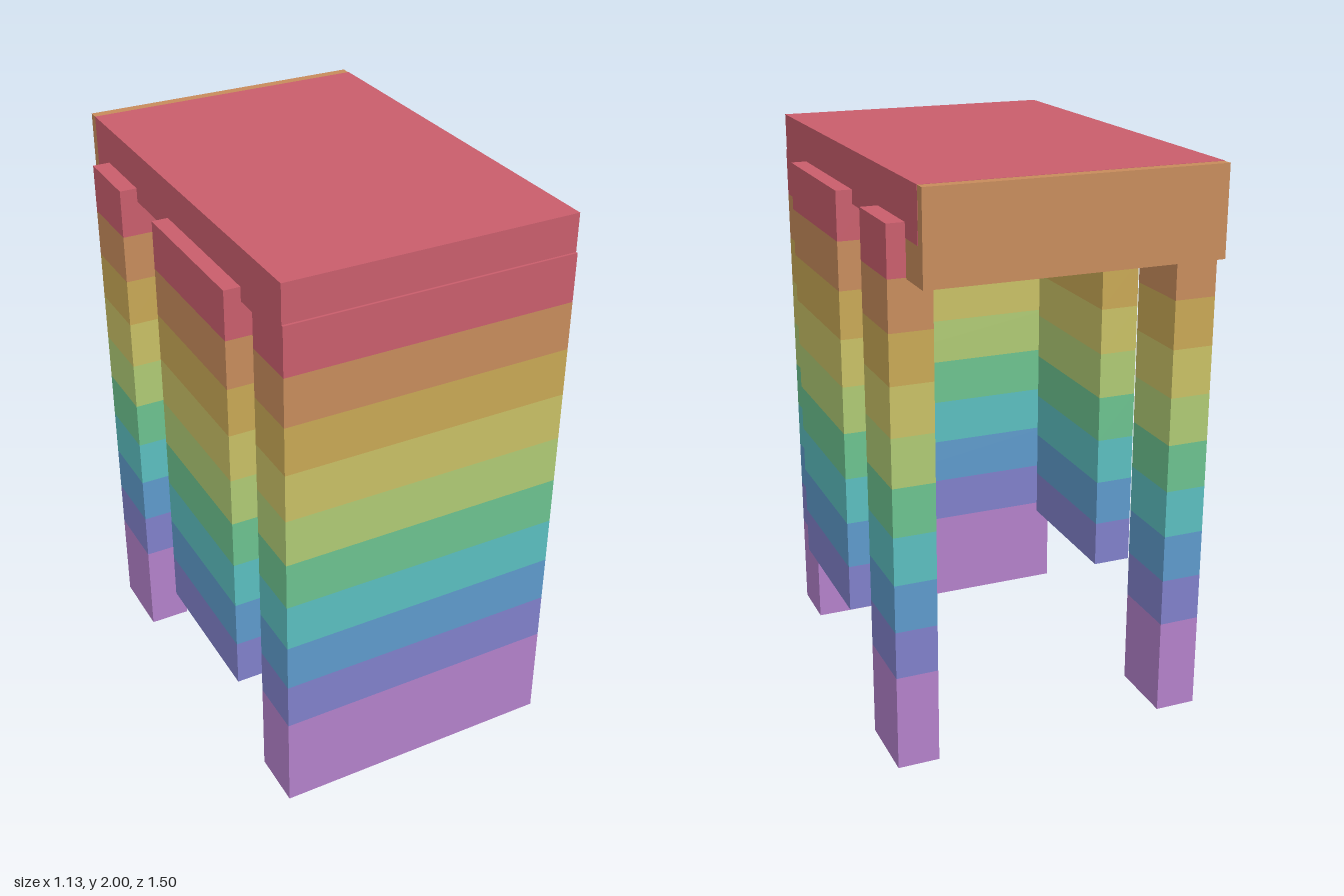
import * as THREE from 'three';

// Band colours from bottom to top
const palette = [
  ['purple', 0xb381ca], ['indigo', 0x8080ca], ['blue', 0x5e9acb], ['teal', 0x5bbebf],
  ['green', 0x6cc28f], ['lime', 0xafca74], ['yellow', 0xc8c065], ['gold', 0xc8a855],
  ['orange', 0xc78c5c], ['red', 0xc95e6c],
];
// Band edges: one tall foot band, then equal steps
const edges = [0, ...Array.from({ length: 10 }, (_, i) => 0.343 + i * 0.1695)];

export function createModel() {
  const group = new THREE.Group();
  const materials = palette.map(([name, color]) => {
    const m = new THREE.MeshStandardMaterial({ color });
    m.name = name;
    return m;
  });
  const [red, orange] = [materials[9], materials[8]];

  function add(name, geometry, material) {
    const mesh = new THREE.Mesh(geometry, material);
    mesh.name = name;
    group.add(mesh);
  }

  function block(name, x0, x1, y0, y1, z0, z1, material) {
    const g = new THREE.BoxGeometry(x1 - x0, y1 - y0, z1 - z0);
    g.translate((x0 + x1) / 2, (y0 + y1) / 2, (z0 + z1) / 2);
    add(name, g, material);
  }

  // Box whose sides are split into the rainbow bands, starting at band "first"
  function banded(name, x0, x1, z0, z1, first) {
    const rows = 10 - first;
    const g = new THREE.BoxGeometry(x1 - x0, rows, z1 - z0, 1, rows, 1);
    g.translate((x0 + x1) / 2, rows / 2, (z0 + z1) / 2);
    const p = g.attributes.position;
    for (let i = 0; i < p.count; i++) p.setY(i, edges[first + Math.round(p.getY(i))]);
    g.clearGroups();
    let start = 0;
    for (let side = 0; side < 6; side++) {
      if (side === 2 || side === 3) { // top and bottom caps
        g.addGroup(start, 6, side === 2 ? 9 : first);
        start += 6;
      } else {
        for (let r = 0; r < rows; r++, start += 6) g.addGroup(start, 6, 9 - r);
      }
    }
    add(name, g, materials);
  }

  // Top slab and the lip overhanging at the back
  block('topSlab', -0.507, 0.507, 1.82, 2, -0.713, 0.742, red);
  block('backLip', -0.506, 0.506, 1.695, 1.999, -0.75, -0.603, orange);

  // Full-height front panel
  banded('frontPanel', -0.507, 0.507, 0.55, 0.75, 0);

  // Hanging side panels and back legs, mirrored
  for (const [side, s] of [['left', 1], ['right', -1]]) {
    const span = (a, b) => (s > 0 ? [a, b] : [-b, -a]);
    banded(side + 'SidePanel', ...span(0.42, 0.563), -0.077, 0.473, 1);
    banded(side + 'BackLeg', ...span(0.42, 0.567), -0.602, -0.347, 0);
  }
  return group;
}
